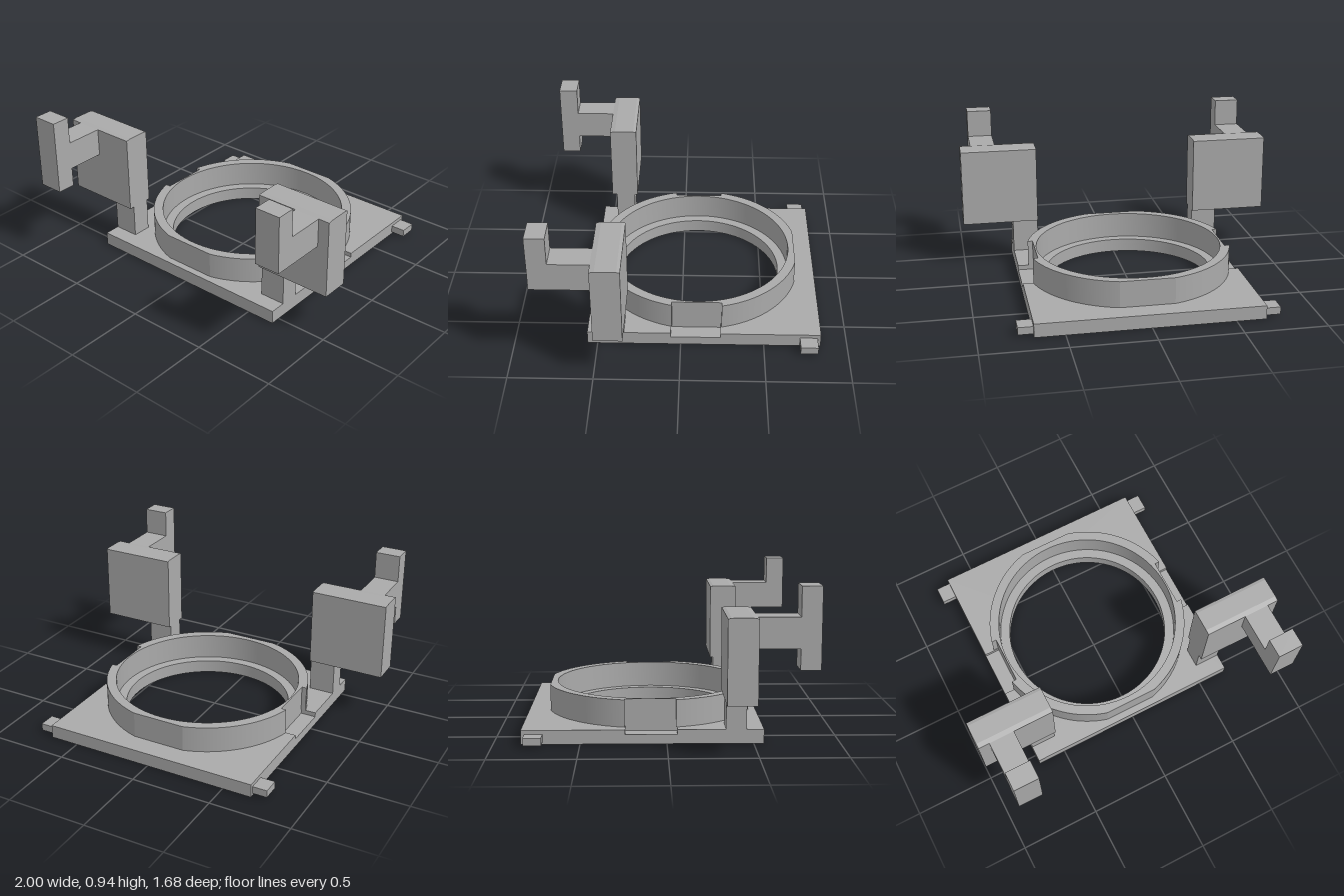
import * as THREE from 'three';
import { toCreasedNormals } from 'three/addons/utils/BufferGeometryUtils.js';

const CZ = -0.095; // centre of the opening along z

export function createModel() {
  const grey = new THREE.MeshStandardMaterial({ color: 0xaaaaaa });
  grey.name = 'grey';
  const model = new THREE.Group();
  model.name = 'ringMount';

  const add = (name, geometry, parent = model) => {
    const mesh = new THREE.Mesh(geometry, grey);
    mesh.name = name;
    parent.add(mesh);
    return mesh;
  };

  // Box given by its lower and upper limits on each axis
  const box = (name, [x0, x1], [y0, y1], [z0, z1], parent) => {
    const g = new THREE.BoxGeometry(x1 - x0, y1 - y0, z1 - z0);
    g.translate((x0 + x1) / 2, (y0 + y1) / 2, (z0 + z1) / 2);
    return add(name, g, parent);
  };

  // Horizontal slab: shape drawn in (x, -z) and raised from y0 to y1
  const slab = (name, shape, radius, y0, y1) => {
    shape.holes.push(new THREE.Path().absarc(0, -CZ, radius, 0, Math.PI * 2, true));
    const g = new THREE.ExtrudeGeometry(shape, { depth: y1 - y0, bevelEnabled: false, curveSegments: 80 });
    g.rotateX(-Math.PI / 2).translate(0, y0, 0);
    return add(name, toCreasedNormals(g, 0.2));
  };
  const outline = (points) => new THREE.Shape(points.map(([x, z]) => new THREE.Vector2(x, -z)));

  // Square base plate, its upper layer notched at both sides
  slab('basePlate', outline([[-0.68, 0.56], [0.68, 0.56], [0.68, -0.84], [-0.68, -0.84]]), 0.515, 0, 0.055);
  slab('basePlateTop', outline([
    [-0.68, 0.56], [0.68, 0.56], [0.68, 0.06], [0.585, 0.06], [0.585, -0.24], [0.68, -0.24],
    [0.68, -0.84], [-0.68, -0.84], [-0.68, -0.24], [-0.585, -0.24], [-0.585, 0.06], [-0.68, 0.06],
  ]), 0.515, 0.055, 0.083);

  // Raised ring, flat at front and back, with a shallow cut at each side
  const R = 0.634;
  const cut = Math.asin(0.15 / R);
  const flat = Math.acos(0.165 / R);
  const ring = new THREE.Shape();
  ring.moveTo(0.585, -CZ - 0.15);
  ring.lineTo(0.585, -CZ + 0.15);
  ring.absarc(0, -CZ, R, cut, flat, false);
  ring.absarc(0, -CZ, R, Math.PI - flat, Math.PI - cut, false);
  ring.lineTo(-0.585, -CZ + 0.15);
  ring.lineTo(-0.585, -CZ - 0.15);
  ring.absarc(0, -CZ, R, Math.PI + cut, Math.PI + flat, false);
  ring.absarc(0, -CZ, R, -flat, -cut, false);
  slab('ring', ring, 0.575, 0.083, 0.245);

  for (const side of [1, -1]) {
    const label = side > 0 ? 'left' : 'right';
    const group = new THREE.Group();
    group.name = label + 'Side';
    model.add(group);
    const span = (a, b) => (side > 0 ? [a, b] : [-b, -a]);

    // Small tab at the rear corner
    box(label + 'Tab', span(0.68, 0.77), [0.015, 0.06], [-0.82, -0.715], group);

    // Post carrying the bracket block
    box(label + 'Post', span(0.52, 0.68), [0.083, 0.29], [0.34, 0.46], group);

    // Block with a slightly crowned top
    const profile = outline([[-0.49, -0.29], [-0.32, -0.29], [-0.32, -0.77], [-0.34, -0.775], [-0.46, -0.775], [-0.49, -0.77]]);
    const block = new THREE.ExtrudeGeometry(profile, { depth: 0.48, bevelEnabled: false });
    block.rotateY(Math.PI / 2).translate(span(0.52, 1)[0], 0, 0);
    add(label + 'Block', block, group);

    // Forward arm ending in an upright finger, longer on the right
    box(label + 'Arm', span(0.773, 0.93), [0.595, 0.77], [0.49, 0.725], group);
    box(label + 'Finger', span(0.773, 0.93), [side > 0 ? 0.595 : 0.475, 0.94], [0.725, 0.84], group);
  }
  return model;
}
